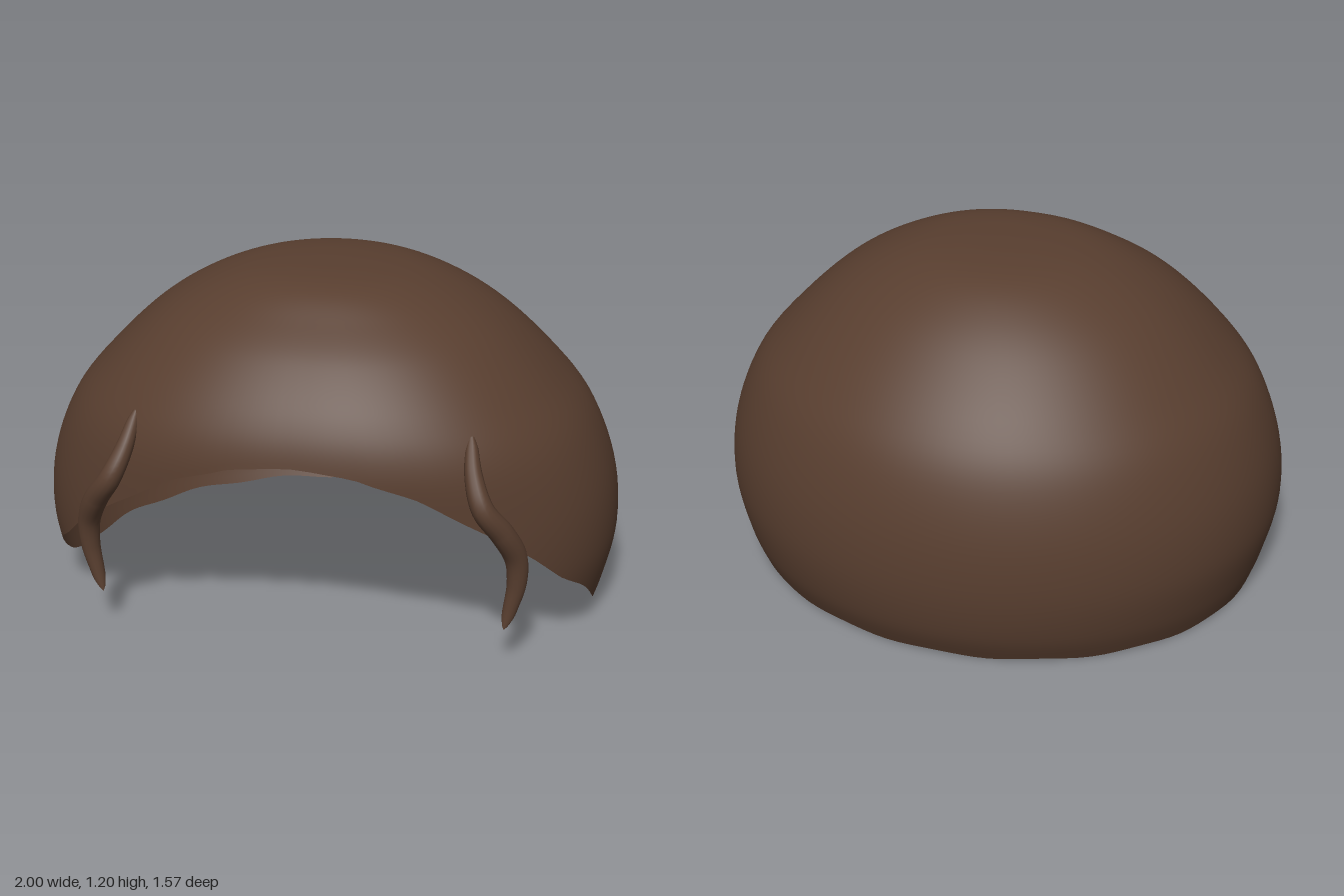
import * as THREE from 'three';
import { mergeVertices } from 'three/addons/utils/BufferGeometryUtils.js';

const V = (x, y, z) => new THREE.Vector3(x, y, z);

// Cap levels: height, half width, front depth, back depth
const CENTRE = 0.08;
const LEVELS = [
  [-0.02, 0.92, 0.76, -0.7], [0.12, 0.965, 0.78, -0.76], [0.3, 1.0, 0.79, -0.786],
  [0.5, 0.98, 0.79, -0.77], [0.7, 0.9, 0.785, -0.71], [0.85, 0.78, 0.73, -0.615],
  [1.0, 0.625, 0.61, -0.47], [1.1, 0.475, 0.48, -0.34], [1.165, 0.32, 0.37, -0.21],
  [1.192, 0.17, 0.25, -0.07], [1.2, 0, CENTRE, CENTRE],
];

// Hairline: angle away from the front, height
const HAIRLINE = [[0, 0.71], [0.18, 0.7], [0.39, 0.62], [0.62, 0.5], [0.745, 0.42],
  [0.975, 0.285], [1.15, 0.2], [1.3, 0.125], [1.43, 0.06], [1.57, 0.008], [3.15, 0.008]];

function rimHeight(angle) {
  const a = Math.abs(angle);
  let i = 1;
  while (i < HAIRLINE.length - 1 && HAIRLINE[i][0] < a) i++;
  const [a0, y0] = HAIRLINE[i - 1], [a1, y1] = HAIRLINE[i];
  return y0 + (y1 - y0) * (a - a0) / (a1 - a0) + 0.005 * Math.cos(a * 16);
}

// Rounded shell, each column running from the hairline to the crown
function capGeometry(cols = 128, rows = 56) {
  const outline = new THREE.CatmullRomCurve3(LEVELS.map(l => V(l[1], l[0], 0)), false, 'catmullrom');
  const depth = new THREE.CatmullRomCurve3(LEVELS.map(l => V(l[2], l[3], 0)), false, 'catmullrom');
  const bend = (v, e) => Math.sign(v) * Math.abs(v) ** e;
  const pos = [], index = [];
  for (let i = 0; i < cols; i++) {
    const angle = (i / cols) * Math.PI * 2 - Math.PI;
    const s = Math.sin(angle), c = Math.cos(angle);
    const e = c > 0 ? 0.88 : 1; // the front is squarer than the back
    const rim = rimHeight(angle);
    let lo = 0, hi = 1;
    for (let k = 0; k < 24; k++) {
      const mid = (lo + hi) / 2;
      if (outline.getPoint(mid).y < rim) lo = mid; else hi = mid;
    }
    for (let j = 0; j <= rows; j++) {
      const t = lo + (1 - lo) * j / rows;
      const o = outline.getPoint(t), d = depth.getPoint(t);
      const half = c > 0 ? d.x - CENTRE : CENTRE - d.y;
      pos.push(o.x * bend(s, e), o.y, CENTRE + half * bend(c, e));
      if (j === rows) continue;
      const a = i * (rows + 1) + j, b = ((i + 1) % cols) * (rows + 1) + j;
      index.push(a, b, b + 1);
      if (j < rows - 1) index.push(a, b + 1, a + 1);
    }
  }
  const g = new THREE.BufferGeometry();
  g.setAttribute('position', new THREE.Float32BufferAttribute(pos, 3));
  g.setIndex(index);
  const merged = mergeVertices(g, 1e-5);
  merged.computeVertexNormals();
  return merged;
}

// Loose lock: a tube thinned toward both ends
function lockGeometry(side) {
  const path = new THREE.CatmullRomCurve3([
    V(0.55, 0.81, 0.6), V(0.572, 0.7, 0.69), V(0.61, 0.61, 0.738), V(0.67, 0.52, 0.71),
    V(0.712, 0.42, 0.668), V(0.717, 0.32, 0.654), V(0.7, 0.23, 0.652), V(0.68, 0.145, 0.655),
  ].map(p => V(p.x * side, p.y, p.z)));
  const rings = 48, sides = 14;
  const g = new THREE.TubeGeometry(path, rings, 1, sides, false);
  const p = g.attributes.position, v = V(0, 0, 0);
  for (let i = 0; i <= rings; i++) {
    const t = i / rings, c = path.getPointAt(t);
    const body = 0.016 + 0.024 * Math.sin(Math.PI * t);
    const r = body * Math.sqrt(Math.min(1, t * 14, (1 - t) * 14)) + 1e-4;
    for (let j = 0; j <= sides; j++) {
      const k = i * (sides + 1) + j;
      v.fromBufferAttribute(p, k).sub(c).multiplyScalar(r).add(c);
      p.setXYZ(k, v.x, v.y, v.z);
    }
  }
  return g;
}

export function createModel() {
  const group = new THREE.Group();
  group.name = 'hair';
  const brown = new THREE.MeshStandardMaterial({ color: 0x583e2f, side: THREE.DoubleSide });
  brown.name = 'dark brown hair';
  const add = (name, geometry) => {
    const mesh = new THREE.Mesh(geometry, brown);
    mesh.name = name;
    group.add(mesh);
  };
  add('hairCap', capGeometry());
  add('leftLock', lockGeometry(1));
  add('rightLock', lockGeometry(-1));
  return group;
}
